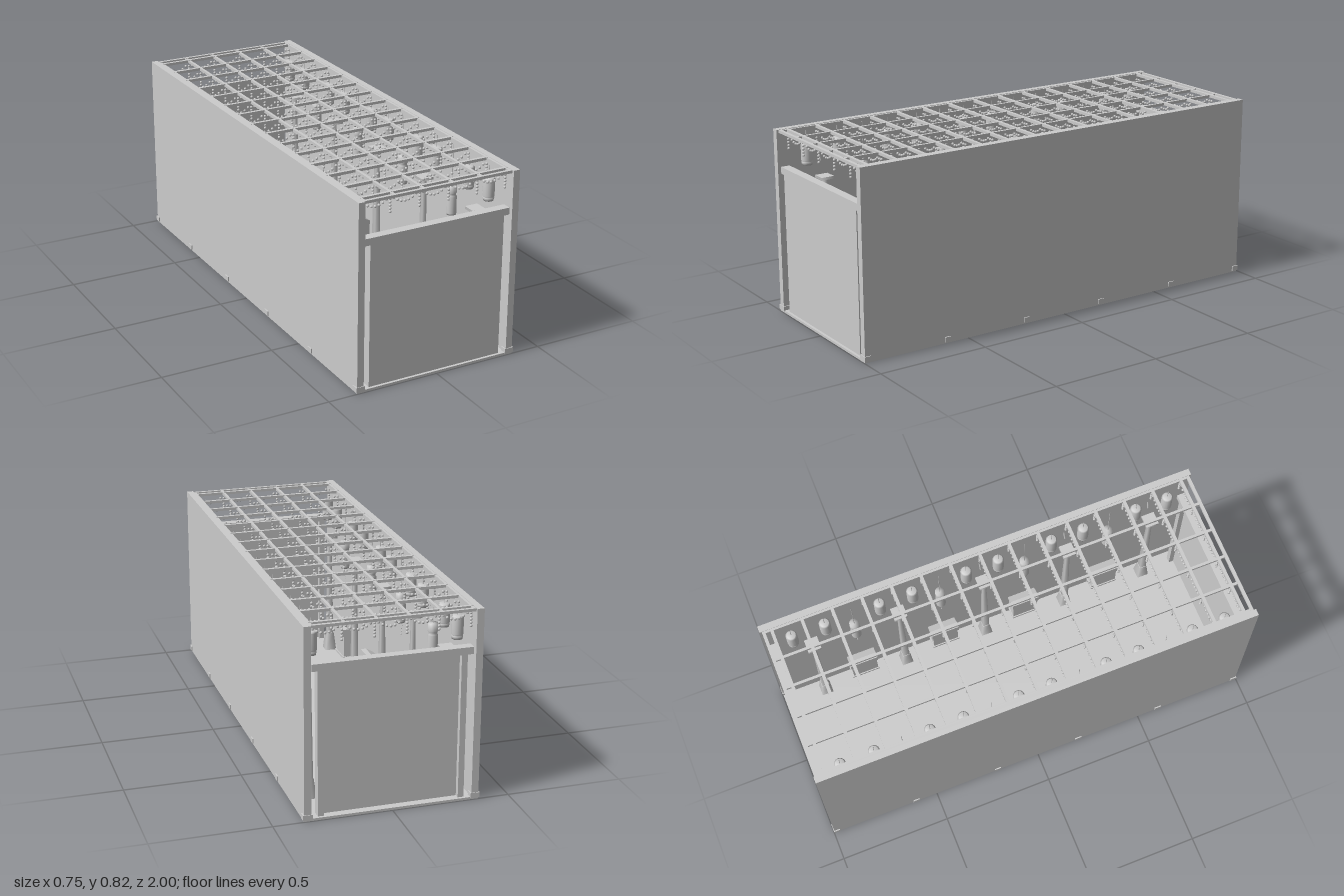
import * as THREE from 'three';
import { mergeGeometries } from 'three/addons/utils/BufferGeometryUtils.js';

export function createModel() {
  const root = new THREE.Group();
  root.name = 'lanternCorridor';
  const grey = new THREE.MeshStandardMaterial({ color: 0xcccccc });
  grey.name = 'plainGrey';

  const add = (name, geos) => {
    const mesh = new THREE.Mesh(mergeGeometries([geos].flat()), grey);
    mesh.name = name;
    root.add(mesh);
    return mesh;
  };
  // Box given by its limits on each axis
  const box = (x0, x1, y0, y1, z0, z1) =>
    new THREE.BoxGeometry(Math.abs(x1 - x0), y1 - y0, z1 - z0)
      .translate((x0 + x1) / 2, (y0 + y1) / 2, (z0 + z1) / 2);
  const bead = (x, y, z, r = 0.006) => new THREE.SphereGeometry(r, 8, 5).translate(x, y, z);
  // Straight thin rod between two points
  const rod = (a, b, r) => new THREE.TubeGeometry(
    new THREE.LineCurve3(new THREE.Vector3(...a), new THREE.Vector3(...b)), 1, r, 5);
  const lathe = (pts) => new THREE.LatheGeometry(pts.map((p) => new THREE.Vector2(...p)), 16);
  const sides = [-1, 1];

  // Floor and long walls
  add('floor', box(-0.37, 0.37, 0, 0.01, -0.997, 0.997));
  for (const s of sides) add(s > 0 ? 'leftWall' : 'rightWall', box(s * 0.34, s * 0.37, 0.008, 0.822, -0.997, 0.997));

  // Post feet along both walls
  const feet = [];
  for (const s of sides) {
    for (const z of [-0.985, 0.985]) feet.push(box(s * 0.335, s * 0.375, 0.006, 0.028, z - 0.015, z + 0.015));
    for (const z of [-0.6, -0.2, 0.2, 0.6]) feet.push(box(s * 0.335, s * 0.375, 0.006, 0.028, z - 0.015, z + 0.015));
  }
  add('wallFeet', feet);

  // End screens: flat panel towards +z, frame towards -z
  for (const z of [-0.985, 0.945]) {
    const parts = [
      box(-0.31, 0.31, 0.008, 0.632, z + 0.022, z + 0.04),
      box(-0.335, 0.335, 0.63, 0.66, z, z + 0.04),
    ];
    for (const s of sides) parts.push(box(s * 0.285, s * 0.31, 0.008, 0.632, z, z + 0.024));
    add(z > 0 ? 'frontScreen' : 'backScreen', parts);
  }

  // Roof lattice
  const lattice = [];
  const beamZ = Array.from({ length: 15 }, (_, i) => (i - 7) * 0.135);
  const beamX = [-0.335, -0.201, -0.067, 0.067, 0.201, 0.335];
  for (const z of [-0.98, ...beamZ, 0.98]) lattice.push(box(-0.342, 0.342, 0.809, 0.821, z - 0.007, z + 0.007));
  for (const x of beamX) lattice.push(box(x - 0.006, x + 0.006, 0.808, 0.82, -0.985, 0.985));
  add('roofLattice', lattice);

  // Bead swags and drops under every cross beam
  const beads = [];
  for (const z of beamZ) {
    beamX.forEach((x, i) => {
      for (let k = 0; k < 5; k++) beads.push(bead(x, 0.79 - k * 0.0138, z));
      if (i === 5) return;
      for (let k = 0; k < 7; k++) {
        const t = (k - 3) / 3;
        beads.push(bead(x + 0.067 + t * 0.051, 0.77 + 0.021 * t * t, z));
      }
    });
  }
  add('beadGarlands', beads);

  // Hanging lanterns in two heights
  const upper = lathe([[0, 0], [0.022, 0], [0.022, 0.007], [0.024, 0.007], [0.024, 0.014], [0.022, 0.014],
    [0.022, 0.02], [0.025, 0.02], [0.025, 0.093], [0.02, 0.093], [0.02, 0.1], [0, 0.1]]);
  const lower = lathe([[0, 0], [0.02, 0], [0.02, 0.006], [0.022, 0.006], [0.022, 0.082], [0.018, 0.086],
    [0.018, 0.097], [0.022, 0.1], [0.022, 0.135], [0, 0.135]]);
  const upperParts = [], lowerParts = [], cords = [], strings = [];
  for (const s of sides) {
    for (let i = -2; i <= 2; i++) for (const d of [-0.075, 0.075]) {
      const z = i * 0.4 + d;
      upperParts.push(upper.clone().translate(s * 0.306, 0.66, z));
      cords.push(rod([s * 0.306, 0.755, z], [s * 0.306, 0.812, z], 0.0015));
    }
    for (const z of [-0.6, -0.2, 0.2, 0.6]) {
      lowerParts.push(lower.clone().translate(s * 0.308, 0.495, z));
      cords.push(rod([s * 0.308, 0.625, z], [s * 0.308, 0.812, z], 0.0015));
      for (let k = 0; k < 6; k++) strings.push(bead(s * (0.316 - k * 0.0012), 0.49 - k * 0.013, z, 0.0025));
    }
  }
  add('upperLanterns', upperParts);
  add('lowerLanterns', lowerParts);
  add('lanternCords', cords);
  add('lanternTassels', strings);

  // Wall brackets under the roof
  const brackets = [];
  for (const s of sides) for (const z of [-0.8, -0.4, 0, 0.4, 0.8])
    brackets.push(rod([s * 0.341, 0.7, z], [s * 0.328, 0.66, z], 0.004));
  add('wallBrackets', brackets);

  // Wall cabinets with sloping lids
  const lidShape = new THREE.Shape([[0.28, 0.17], [0.342, 0.17], [0.342, 0.18], [0.305, 0.2], [0.28, 0.2]]
    .map((p) => new THREE.Vector2(...p)));
  for (const s of sides) for (const z of [-0.6, -0.2, 0.2, 0.6]) {
    const parts = [
      box(s * 0.285, s * 0.34, 0.06, 0.165, z - 0.06, z + 0.06),
      box(s * 0.28, s * 0.341, 0.05, 0.06, z - 0.065, z + 0.065),
      box(s * 0.28, s * 0.341, 0.163, 0.17, z - 0.065, z + 0.065),
    ];
    for (const d of [-0.055, 0.055]) parts.push(box(s * 0.335, s * 0.341, 0.008, 0.05, z + d - 0.006, z + d + 0.006));
    add('wallCabinet', parts);
    const lid = new THREE.ExtrudeGeometry(lidShape, { depth: 0.13, bevelEnabled: false }).translate(0, 0, -0.065);
    if (s < 0) lid.rotateY(Math.PI);
    add('cabinetLid', lid.translate(0, 0, z));
  }

  // Square lamp stands with flared feet
  for (const s of sides) for (const z of [-0.8, -0.4, 0, 0.4, 0.8]) {
    const prism = (top, bottom, h, y) => new THREE.CylinderGeometry(top * Math.SQRT2, bottom * Math.SQRT2, h, 4)
      .rotateY(Math.PI / 4).translate(s * 0.293, y + h / 2, z);
    add('lampStand', [prism(0.017, 0.027, 0.09, 0.006), prism(0.008, 0.015, 0.5, 0.09), prism(0.03, 0.03, 0.012, 0.59)]);
  }
  return root;
}
